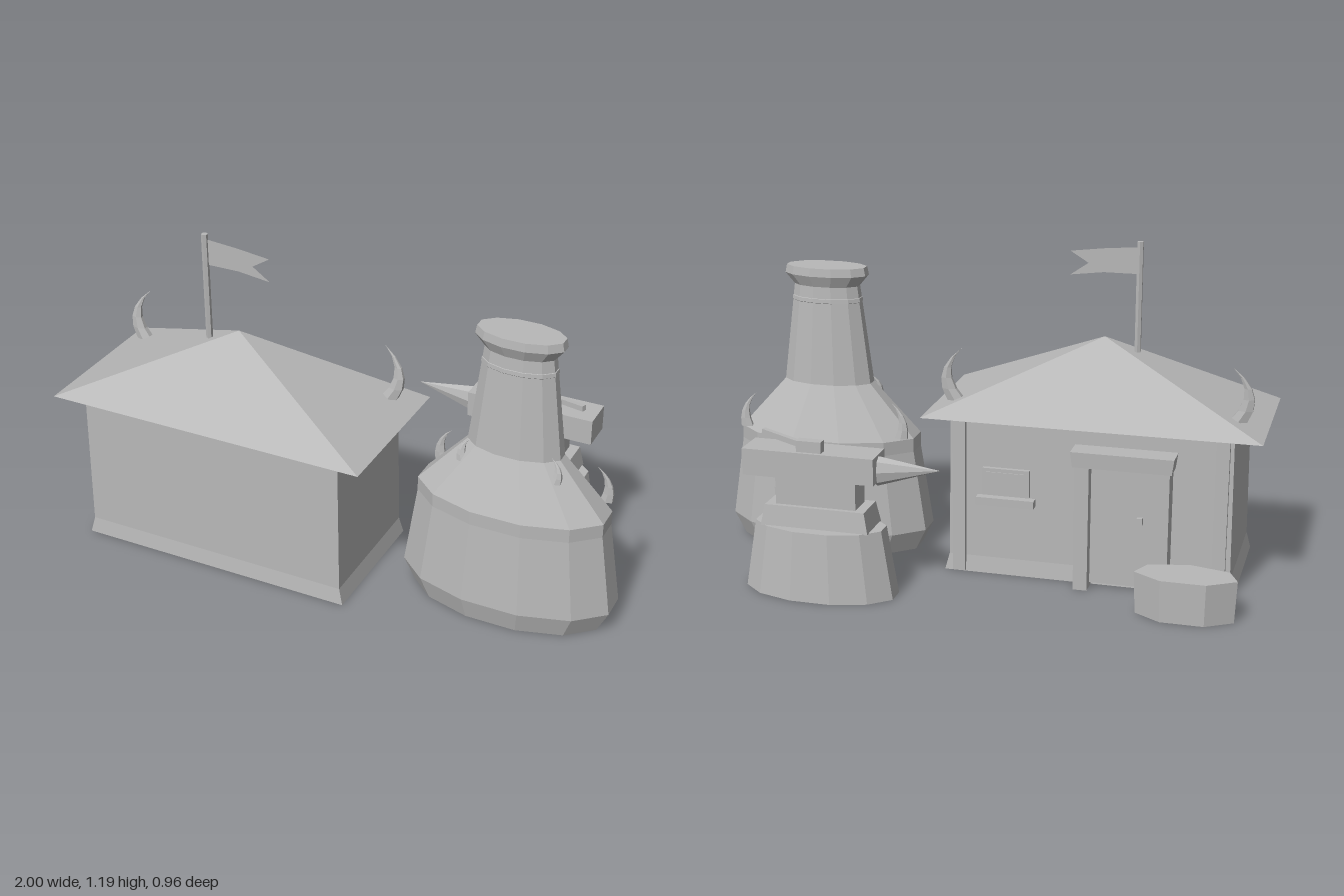
import * as THREE from 'three';

const stone = new THREE.MeshStandardMaterial({ color: 0xb8b8b8, flatShading: true, side: THREE.DoubleSide });
stone.name = 'plain grey';

function add(parent, name, geometry, x = 0, y = 0, z = 0) {
  const mesh = new THREE.Mesh(geometry, stone);
  mesh.name = name;
  mesh.position.set(x, y, z);
  parent.add(mesh);
  return mesh;
}

function group(parent, name) {
  const g = new THREE.Group();
  g.name = name;
  parent.add(g);
  return g;
}

// Box standing on y = 0 whose top has its own width and depth
function taperBox(w, h, d, topW = w, topD = d) {
  const geo = new THREE.BoxGeometry(w, h, d).translate(0, h / 2, 0);
  const p = geo.attributes.position;
  for (let i = 0; i < p.count; i++) {
    if (p.getY(i) > h / 2) {
      p.setX(i, Math.sign(p.getX(i)) * topW / 2);
      p.setZ(i, Math.sign(p.getZ(i)) * topD / 2);
    }
  }
  geo.computeVertexNormals();
  return geo;
}

// Four-sided open frustum
function skirt(w, d, topW, topD, h) {
  const geo = new THREE.CylinderGeometry(1, 1, h, 4, 1, true, Math.PI / 4).translate(0, h / 2, 0);
  const p = geo.attributes.position;
  for (let i = 0; i < p.count; i++) {
    const top = p.getY(i) > h / 2;
    p.setX(i, Math.sign(p.getX(i)) * (top ? topW : w) / 2);
    p.setZ(i, Math.sign(p.getZ(i)) * (top ? topD : d) / 2);
  }
  geo.computeVertexNormals();
  return geo;
}

// Curved spike: a cone bent along base -> bulge -> tip
function horn(base, bulge, tip, r, flat = 0.6) {
  const curve = new THREE.QuadraticBezierCurve3(
    new THREE.Vector3(...base), new THREE.Vector3(...bulge), new THREE.Vector3(...tip));
  const geo = new THREE.ConeGeometry(r, 1, 6, 5).translate(0, 0.5, 0);
  const p = geo.attributes.position;
  for (let i = 0; i < p.count; i++) {
    const c = curve.getPoint(p.getY(i));
    p.setXYZ(i, c.x + p.getX(i), c.y, c.z + p.getZ(i) * flat);
  }
  geo.computeVertexNormals();
  return geo;
}

// Twelve-sided oval solid from [half width, height] pairs
function oval(points) {
  const k = 1 / Math.cos(Math.PI / 12);
  const profile = points.map(([r, y]) => new THREE.Vector2(r * k, y));
  return new THREE.LatheGeometry(profile, 12, Math.PI / 12).scale(1, 1, 0.5);
}

function buildHouse(root) {
  const house = group(root, 'house');
  house.position.set(-0.4, 0, 0.19);
  add(house, 'walls', taperBox(1.01, 0.515, 0.49, 1.0, 0.48), 0, 0.06, 0);
  add(house, 'baseSkirt', skirt(1.04, 0.505, 1.01, 0.49, 0.06));

  // Pyramid roof with a flat underside
  const roof = new THREE.ConeGeometry(Math.SQRT2, 0.265, 4, 1, false, Math.PI / 4);
  add(house, 'roof', roof.scale(0.6, 1, 0.29), 0, 0.7075, 0);

  for (const s of [-1, 1]) {
    add(house, 'roofHorn', horn([s * 0.5, 0.615, -0.165], [s * 0.58, 0.72, -0.17], [s * 0.475, 0.81, -0.18], 0.036));
    add(house, 'cornerPost', taperBox(0.045, 0.57, 0.035, 0.045, 0.03), s * 0.465, 0.005, -0.245);
  }

  // Door on the back wall
  const door = group(house, 'doorway');
  door.position.set(-0.13, 0, -0.24);
  for (const s of [-1, 1]) add(door, 'doorJamb', taperBox(0.05, 0.46, 0.08), s * 0.14, 0, -0.04);
  add(door, 'lintel', taperBox(0.345, 0.055, 0.085, 0.36, 0.09), 0, 0.455, -0.045);
  add(door, 'doorPanel', taperBox(0.23, 0.44, 0.03), 0, 0.015, -0.02);
  add(door, 'doorKnob', taperBox(0.02, 0.025, 0.02), -0.06, 0.25, -0.04);

  // Window on the back wall
  const win = group(house, 'window');
  win.position.set(0.295, 0, -0.245);
  add(win, 'windowFrame', taperBox(0.17, 0.1, 0.025), 0, 0.3, 0);
  add(win, 'windowPane', taperBox(0.145, 0.075, 0.008), 0, 0.312, -0.012);
  add(win, 'windowSill', taperBox(0.21, 0.028, 0.04), 0, 0.267, -0.01);

  // Flag
  add(house, 'flagPole', new THREE.CylinderGeometry(0.012, 0.012, 0.395, 6), -0.117, 0.9875, 0.005);
  const flag = new THREE.Shape([[0, 1.165], [0.12, 1.155], [0.24, 1.14], [0.175, 1.1], [0.24, 1.055], [0.12, 1.07], [0, 1.07]]
    .map(([x, y]) => new THREE.Vector2(x, y)));
  add(house, 'flag', new THREE.ShapeGeometry(flag), -0.11, 0, 0.003);
}

function buildFurnace(root) {
  const furnace = group(root, 'furnace');
  furnace.position.set(0.62, 0, 0.14);
  add(furnace, 'furnaceBody', oval([[0.34, 0], [0.38, 0.08], [0.335, 0.38], [0.335, 0.43],
    [0.165, 0.62], [0.12, 0.98], [0.153, 1.02], [0.147, 1.05], [0, 1.05]]));
  add(furnace, 'neckBand', oval([[0.127, 0.92], [0.13, 0.922], [0.128, 0.936], [0.124, 0.938]]));
  for (const s of [-1, 1]) {
    add(furnace, 'outerHorn', horn([s * 0.3, 0.44, -0.08], [s * 0.325, 0.52, -0.08], [s * 0.262, 0.57, -0.075], 0.026, 0.5));
    add(furnace, 'innerHorn', horn([s * 0.165, 0.555, 0.062], [s * 0.185, 0.61, 0.055], [s * 0.143, 0.635, 0.045], 0.022, 0.7));
  }

  // Fire mouth with a projecting trough at the back
  const mouth = group(furnace, 'fireMouth');
  mouth.position.set(0, 0, -0.18);
  for (const s of [-1, 1]) add(mouth, 'mouthSide', taperBox(0.05, 0.25, 0.05), s * 0.13, 0, 0.01);
  add(mouth, 'mouthTop', taperBox(0.21, 0.05, 0.05), 0, 0.2, 0.01);
  add(mouth, 'mouthBack', taperBox(0.21, 0.2, 0.02), 0, 0, 0.02);
  add(mouth, 'trough', taperBox(0.22, 0.07, 0.165, 0.23, 0.14), 0, 0.02, -0.065);
  add(mouth, 'troughRim', taperBox(0.24, 0.012, 0.15), 0, 0.088, -0.07);
}

function buildAnvil(root) {
  const anvil = group(root, 'anvilStand');
  anvil.position.set(0.485, 0, -0.348);
  add(anvil, 'stump', oval([[0.27, 0], [0.23, 0.247], [0, 0.247]]));
  add(anvil, 'anvilFoot', taperBox(0.39, 0.075, 0.148, 0.36, 0.13), 0, 0.245, 0);
  add(anvil, 'anvilWaist', taperBox(0.29, 0.105, 0.097), 0, 0.318, 0);
  add(anvil, 'anvilTop', taperBox(0.475, 0.095, 0.125), 0.022, 0.42, 0);

  // Pointed horn, its tip slightly raised
  const beak = new THREE.ConeGeometry(0.055, 0.23, 8).rotateZ(Math.PI / 2).scale(1, 1, 0.6);
  add(anvil, 'anvilBeak', beak, -0.32, 0.465, 0).rotation.z = -0.08;

  // Hammer lying on top
  add(anvil, 'hammerHead', taperBox(0.09, 0.04, 0.035), 0.02, 0.515, -0.032);
  const handle = add(anvil, 'hammerHandle', new THREE.BoxGeometry(0.19, 0.02, 0.018), 0.13, 0.54, 0.01);
  handle.rotation.set(0, -0.34, 0.1);
}

export function createModel() {
  const root = new THREE.Group();
  root.name = 'smithy';
  buildHouse(root);
  buildFurnace(root);
  buildAnvil(root);

  // Low seven-sided block beside the door
  const block = group(root, 'sideBlock');
  block.position.set(-0.78, 0, -0.252);
  add(block, 'blockSides', new THREE.CylinderGeometry(1, 0.96, 0.15, 7, 1, true).scale(0.18, 1, 0.088), 0, 0.075, 0);
  add(block, 'blockTop', new THREE.CircleGeometry(1, 7, Math.PI / 2 + Math.PI)
    .rotateX(-Math.PI / 2).scale(0.18, 1, 0.088), 0, 0.15, 0);
  return root;
}
